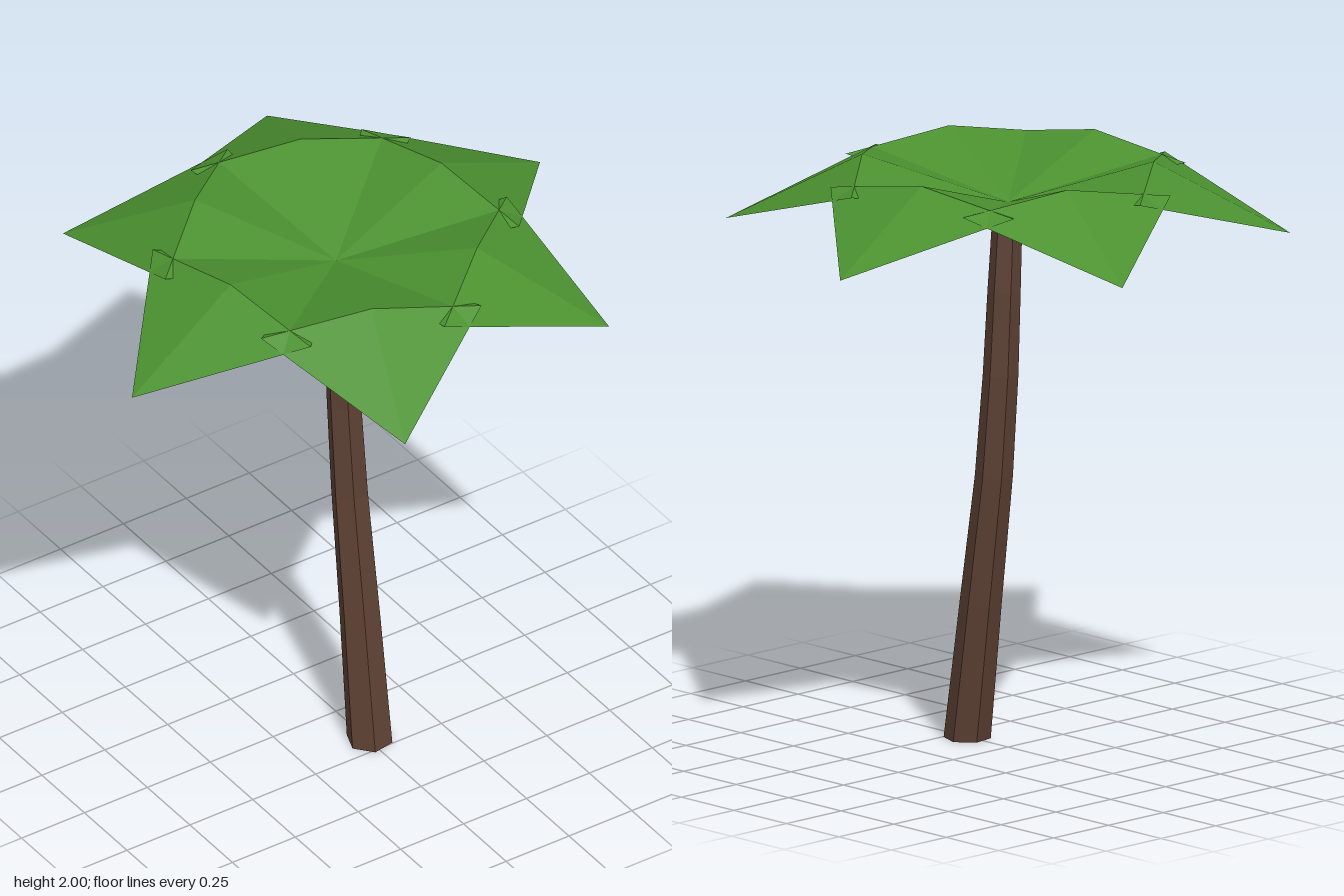
import * as THREE from 'three';

const SIDES = 6;
const TURN = -Math.PI / 18; // shared twist of trunk facets and fronds

function geometryFrom(points, index) {
  const g = new THREE.BufferGeometry();
  g.setAttribute('position', new THREE.Float32BufferAttribute(points.flat(), 3));
  g.setIndex(index);
  const flat = g.toNonIndexed();
  flat.computeVertexNormals();
  return flat;
}

// Curved, tapering six-sided trunk from rings [x, y, z, radius]
function trunkGeometry() {
  const rings = [
    [0.007, 0, 0.187, 0.078],
    [0.02, 0.47, 0.11, 0.07],
    [0.028, 0.92, 0.038, 0.063],
    [0.026, 1.27, 0.008, 0.059],
    [0.018, 1.55, 0, 0.055],
    [0, 1.85, 0, 0.049],
  ];
  const points = [];
  const index = [];
  rings.forEach(([x, y, z, r], j) => {
    for (let i = 0; i < SIDES; i++) {
      const a = TURN + (i / SIDES) * Math.PI * 2;
      points.push([x + r * Math.cos(a), y, z + r * Math.sin(a)]);
      if (j === 0) continue;
      const b = (j - 1) * SIDES, t = j * SIDES, n = (i + 1) % SIDES;
      index.push(b + i, t + i, b + n, b + n, t + i, t + n);
    }
  });
  // End caps
  const last = (rings.length - 1) * SIDES;
  for (let i = 1; i < SIDES - 1; i++) {
    index.push(0, i, i + 1, last, last + i + 1, last + i);
  }
  return geometryFrom(points, index);
}

// One folded frond along +x: rises from the crown to a ridge, then droops to a tip
function frondGeometry() {
  const points = [
    [0, 1.85, 0],
    [0.483, 2, 0],
    [0.478, 1.942, 0.374],
    [0.478, 1.942, -0.374],
    [0.935, 1.77, 0],
  ];
  return geometryFrom(points, [0, 2, 1, 0, 1, 3, 4, 1, 2, 4, 3, 1]);
}

export function createModel() {
  const bark = new THREE.MeshStandardMaterial({ color: 0x5c4033, flatShading: true });
  bark.name = 'bark brown';
  const green = new THREE.MeshStandardMaterial({ color: 0x4b9130, flatShading: true, side: THREE.DoubleSide });
  green.name = 'leaf green';

  const model = new THREE.Group();
  model.name = 'palmTree';

  const trunk = new THREE.Mesh(trunkGeometry(), bark);
  trunk.name = 'trunk';
  model.add(trunk);

  // Crown of six fronds
  const crown = new THREE.Group();
  crown.name = 'crown';
  const geometry = frondGeometry();
  for (let i = 0; i < SIDES; i++) {
    const frond = new THREE.Mesh(geometry, green);
    frond.name = 'frond' + (i + 1);
    frond.rotation.y = -(TURN + (i / SIDES) * Math.PI * 2);
    crown.add(frond);
  }
  model.add(crown);
  return model;
}
